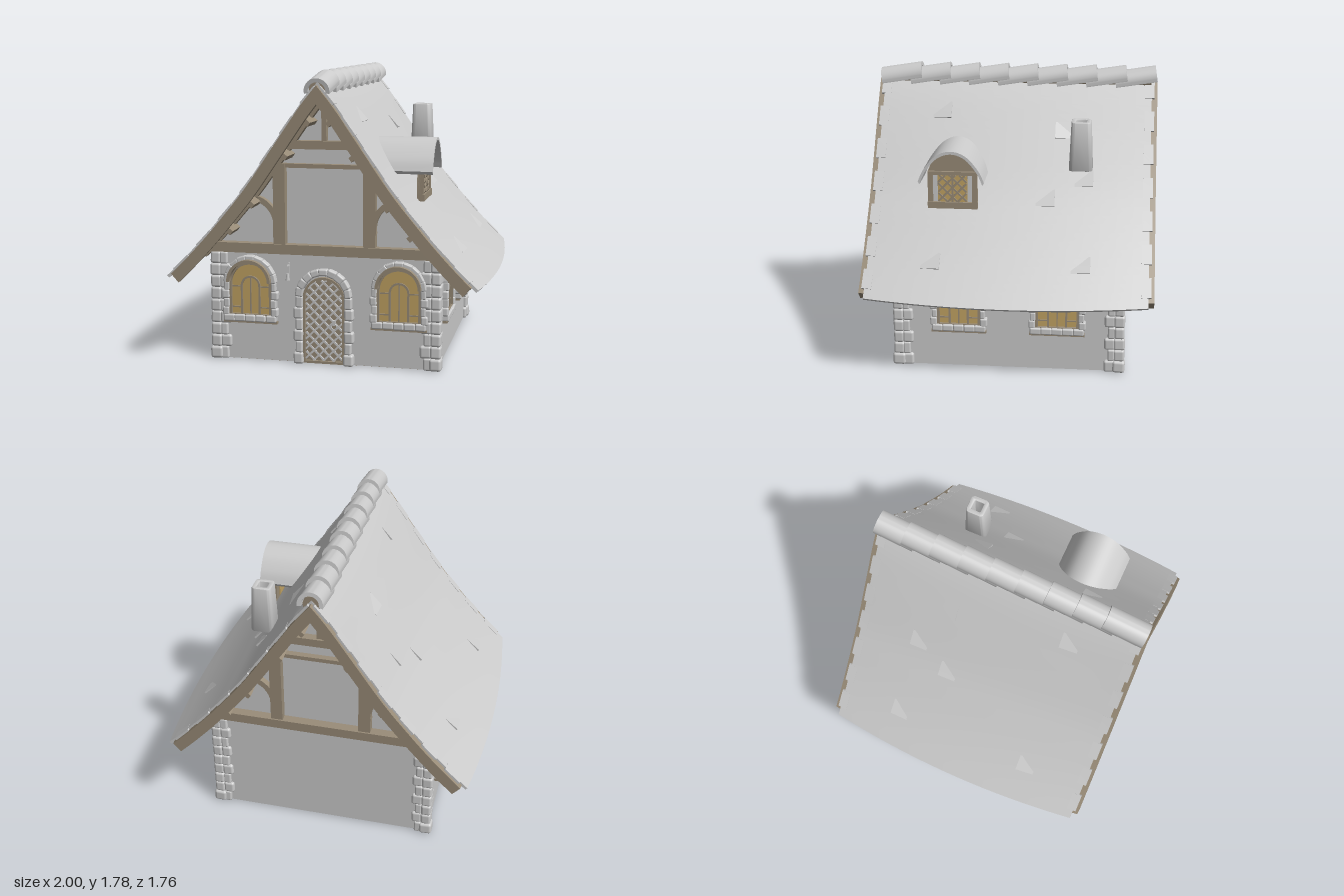
import * as THREE from 'three';
import { toCreasedNormals } from 'three/addons/utils/BufferGeometryUtils.js';
import { RoundedBoxGeometry } from 'three/addons/geometries/RoundedBoxGeometry.js';

const grey = new THREE.MeshStandardMaterial({ color: 0xcccccc });
const wood = new THREE.MeshStandardMaterial({ color: 0x9a8d79 });
const glass = new THREE.MeshStandardMaterial({ color: 0xc4a564 });
const WALL = 0.69; // half width and half depth of the house

let seed = 7;
const rand = () => (seed = (seed * 16807) % 2147483647) / 2147483647;
const jitter = (a) => (rand() - 0.5) * a;

function add(parent, name, geo, mat, x = 0, y = 0, z = 0) {
  const m = new THREE.Mesh(geo, mat);
  m.name = name;
  m.position.set(x, y, z);
  parent.add(m);
  return m;
}
function group(parent, name, x = 0, y = 0, z = 0, ry = 0) {
  const g = new THREE.Group();
  g.name = name;
  g.position.set(x, y, z);
  g.rotation.y = ry;
  parent.add(g);
  return g;
}
// box given by its limits
const block = (p, name, mat, x0, x1, y0, y1, z0, z1) =>
  add(p, name, new THREE.BoxGeometry(x1 - x0, y1 - y0, z1 - z0), mat, (x0 + x1) / 2, (y0 + y1) / 2, (z0 + z1) / 2);
const extrude = (p, name, shape, depth, mat, z = 0) =>
  add(p, name, toCreasedNormals(new THREE.ExtrudeGeometry(shape, { depth, bevelEnabled: false, curveSegments: 14 }), 0.6), mat, 0, 0, z);
function stone(p, x, y, z, w, h, d, rot = 0) {
  const r = Math.min(w, h, d) * 0.24;
  const m = add(p, 'stone', new RoundedBoxGeometry(w + jitter(0.008), h * 1.03, d + jitter(0.01), 2, r), grey, x, y, z);
  m.rotation.set(jitter(0.06), jitter(0.06), rot + jitter(0.07));
}
function archShape(w, y0, spring) {
  const s = new THREE.Shape();
  s.moveTo(-w, y0);
  s.lineTo(w, y0);
  s.lineTo(w, spring);
  s.absarc(0, spring, w, 0, Math.PI, false);
  s.closePath();
  return s;
}
function ringShape(r0, r1, cx, cy, a0, a1) {
  const s = new THREE.Shape();
  s.absarc(cx, cy, r1, a0, a1, false);
  s.absarc(cx, cy, r0, a1, a0, true);
  s.closePath();
  return s;
}
function frameShape(wOut, wIn, y0, y0In, spring) {
  const s = archShape(wOut, y0, spring);
  s.holes.push(archShape(wIn, y0In, spring));
  return s;
}
// diagonal bars, both ways, clipped to an arched or square opening
function lattice(p, w, y0, spring, arched, step, mat, z) {
  const top = spring + (arched ? w : 0);
  const inside = (x, y) => Math.abs(x) <= w && (y <= spring || x * x + (y - spring) ** 2 <= w * w);
  for (const dir of [-1, 1]) for (let c = y0 - w; c < top + w; c += step) {
    const ys = [];
    for (let y = y0; y <= top; y += 0.004) if (inside(dir * (y - c), y)) ys.push(y);
    if (ys.length < 4) continue;
    const a = ys[0], b = ys[ys.length - 1], mid = (a + b) / 2;
    const bar = add(p, 'latticeBar', new THREE.BoxGeometry(0.011, (b - a) * Math.SQRT2, 0.016), mat, dir * (mid - c), mid, z + dir * 0.0008);
    bar.rotation.z = -dir * Math.PI / 4;
  }
}
// stones up both jambs and around the arch
function stoneSurround(p, w, y0, spring, thick, rows, n) {
  const h = (spring - y0) / rows;
  for (const s of [-1, 1]) for (let i = 0; i < rows; i++)
    stone(p, s * (w + thick / 2 + (i % 2 ? 0 : 0.006)), y0 + h * (i + 0.5), 0.004, thick + (i % 2 ? 0 : 0.012), h, 0.066);
  for (let i = 0; i < n; i++) {
    const a = Math.PI * (i + 0.5) / n, r = w + thick / 2;
    stone(p, r * Math.cos(a), spring + r * Math.sin(a), 0.006, thick, Math.PI * r / n * 1.08, 0.07, a);
  }
}

// sagging roof slope: t runs from ridge to eave, o is the offset outward
const slope = new THREE.SplineCurve([[0, 1.715], [0.115, 1.58], [0.247, 1.4], [0.465, 1.1], [0.62, 0.915], [0.74, 0.78], [0.87, 0.645], [1, 0.52]]
  .map(([x, y]) => new THREE.Vector2(x, y)));
function roofPoint(t, z, o) {
  const p = slope.getPointAt(t), d = slope.getTangentAt(t), k = (z / 0.87) ** 2;
  let x = p.x - d.y * o, y = p.y + d.x * o;
  if (x < 0) { y -= x * d.y / d.x; x = 0; }
  return [x * (1 - 0.06 * k), y + 0.018 * k * t * t];
}
// box bent onto the slope; lift and twist raise its lower edge and one side
function slab(p, name, mat, t0, t1, z0, z1, o0, o1, lift = 0, twist = 0) {
  const geo = new THREE.BoxGeometry(1, 1, 1, Math.max(1, Math.round((t1 - t0) * 28)), 1, Math.max(1, Math.round((z1 - z0) * 10)));
  const a = geo.attributes.position;
  for (let i = 0; i < a.count; i++) {
    const u = a.getX(i) + 0.5, w = a.getZ(i), z = z0 + (w + 0.5) * (z1 - z0);
    const [x, y] = roofPoint(t0 + u * (t1 - t0), z, o0 + (a.getY(i) + 0.5) * (o1 - o0) + lift * u + twist * w);
    a.setXYZ(i, x, y, z);
  }
  geo.computeVertexNormals();
  return add(p, name, geo, mat);
}

function buildRoof(root) {
  for (const side of [1, -1]) {
    const half = group(root, side > 0 ? 'leftRoofSlope' : 'rightRoofSlope', 0, 0, 0, side > 0 ? 0 : Math.PI);
    slab(half, 'roofCovering', grey, 0, 1, -0.843, 0.843, -0.018, 0);
    slab(half, 'roofBoards', wood, 0, 0.975, -0.84, 0.84, -0.038, -0.018);
    for (const t of [0.14, 0.3, 0.53, 0.67]) slab(half, 'purlin', wood, t, t + 0.02, -0.84, 0.84, -0.115, -0.038);
    for (const e of [1, -1]) {
      const span = (a, b) => e > 0 ? [a, b] : [-b, -a];
      slab(half, 'bargeboard', wood, 0, 0.975, ...span(0.838, 0.878), -0.084, -0.012);
      slab(half, 'wallRafter', wood, 0, 0.85, ...span(0.63, 0.7), -0.084, -0.038);
      for (let i = 0; i < 7; i++)
        slab(half, 'edgeTile', grey, 0.02 + i * 0.142, 0.105 + i * 0.142, ...span(0.8, 0.86), -0.02, 0.001, 0.003);
    }
    // a few lifted tiles: lower edge x, centre z and the raised side
    for (const [x, z, s] of [[0.2, 0.46, -1], [0.275, -0.31, 1], [0.47, -0.44, -1], [0.55, -0.21, -1], [0.82, 0.46, -1], [0.82, -0.44, -1]])
      slab(half, 'liftedTile', grey, x * 1.035 - 0.07, x * 1.035, side * z - 0.057, side * z + 0.057, -0.02, -0.004, 0.011, side * s * 0.01);
  }
  const cap = ringShape(0.052, 0.076, 0, 0, -0.2, Math.PI + 0.2);
  for (let i = 0; i < 9; i++) {
    const m = extrude(root, 'ridgeTile', cap, 0.26, grey, 0.605 - 0.185 * i);
    m.position.y = 1.703;
    m.rotation.x = 0.16;
  }
  const beam = add(root, 'ridgeBeam', new THREE.CylinderGeometry(0.052, 0.052, 1.68, 16), wood, 0, 1.685, 0);
  beam.rotation.x = Math.PI / 2;
}

function buildGable(root, ry) {
  const g = group(root, ry ? 'backGable' : 'frontGable', 0, 0, 0, ry);
  block(g, 'tieBeam', wood, -0.73, 0.73, 0.67, 0.73, 0.62, 0.71);
  block(g, 'lowerCollar', wood, -0.3, 0.3, 1.195, 1.22, 0.62, 0.69);
  block(g, 'upperCollar', wood, -0.25, 0.25, 1.31, 1.36, 0.62, 0.705);
  block(g, 'kingPost', wood, -0.015, 0.015, 1.36, 1.6, 0.62, 0.69);
  for (const s of [1, -1]) {
    block(g, 'post', wood, s * 0.277 - 0.037, s * 0.277 + 0.037, 0.73, 1.22, 0.62, 0.7);
    const brace = s > 0 ? ringShape(0.15, 0.185, 0.465, 0.84, Math.PI * 0.58, Math.PI * 1.06)
      : ringShape(0.15, 0.185, -0.465, 0.84, -Math.PI * 0.06, Math.PI * 0.42);
    extrude(g, 'curvedBrace', brace, 0.06, wood, 0.63);
  }
}

function buildWindow(root, x, z, ry) {
  const g = group(root, 'window', x, 0, z, ry);
  extrude(g, 'glazing', archShape(0.125, 0.28, 0.48), 0.008, glass);
  extrude(g, 'casing', frameShape(0.135, 0.118, 0.27, 0.29, 0.48), 0.025, wood);
  extrude(g, 'innerArch', frameShape(0.062, 0.05, 0.28, 0.285, 0.465), 0.018, wood);
  block(g, 'mullion', wood, -0.004, 0.004, 0.28, 0.52, 0, 0.015);
  for (const s of [1, -1]) for (const y of [0.33, 0.46])
    block(g, 'glazingBar', wood, s * 0.088 - 0.028, s * 0.088 + 0.028, y - 0.004, y + 0.004, 0, 0.015);
  extrude(g, 'hood', ringShape(0.12, 0.138, 0, 0.495, 0, Math.PI), 0.07, wood);
  stoneSurround(g, 0.132, 0.28, 0.49, 0.032, 4, 9);
  block(g, 'sill', wood, -0.17, 0.17, 0.235, 0.25, 0, 0.03);
  for (let i = 0; i < 5; i++) stone(g, (i - 2) * 0.066, 0.265, 0.005, 0.068, 0.042, 0.07);
}

function buildDoor(root) {
  const g = group(root, 'door', 0, 0, WALL);
  extrude(g, 'doorPanel', archShape(0.125, 0.005, 0.41), 0.008, wood);
  extrude(g, 'doorFrame', frameShape(0.128, 0.114, 0.005, 0.02, 0.41), 0.025, wood);
  lattice(g, 0.115, 0.02, 0.41, true, 0.06, grey, 0.01);
  stoneSurround(g, 0.128, 0, 0.42, 0.045, 6, 9);
  for (const s of [1, -1]) stone(g, s * 0.155, 0.035, 0.005, 0.06, 0.07, 0.08);
  add(g, 'ringHandle', new THREE.TorusGeometry(0.017, 0.004, 6, 16), grey, 0.065, 0.24, 0.026);
  add(g, 'handlePlate', new THREE.BoxGeometry(0.02, 0.03, 0.02), grey, 0.065, 0.262, 0.018);
  // small hanging lamp beside the door
  block(g, 'lampBracket', grey, -0.222, -0.214, 0.54, 0.62, 0, 0.012);
  block(g, 'lampArm', grey, -0.222, -0.214, 0.6, 0.608, 0, 0.05);
  add(g, 'lamp', new THREE.CylinderGeometry(0.008, 0.014, 0.04, 6), grey, -0.218, 0.535, 0.035);
}

function buildDormer(root) {
  const g = group(root, 'dormer', 0, 0, 0.35, Math.PI / 2);
  const front = new THREE.Shape([[-0.15, 1], [0.15, 1], [0.15, 1.22], [0.12, 1.29], [0.06, 1.33], [0, 1.345], [-0.06, 1.33], [-0.12, 1.29], [-0.15, 1.22]]
    .map(([x, y]) => new THREE.Vector2(x, y)));
  extrude(g, 'dormerWall', front, 0.025, wood, 0.53);
  block(g, 'dormerSill', wood, -0.152, 0.152, 0.99, 1.03, 0.53, 0.575);
  block(g, 'dormerLintel', wood, -0.15, 0.15, 1.2, 1.222, 0.53, 0.572);
  for (const s of [1, -1]) {
    block(g, 'dormerPost', wood, s * 0.135 - 0.015, s * 0.135 + 0.015, 1.02, 1.21, 0.53, 0.57);
    block(g, 'shutterStrip', grey, s * 0.105 - 0.014, s * 0.105 + 0.014, 1.03, 1.2, 0.54, 0.56);
  }
  block(g, 'dormerGlazing', glass, -0.09, 0.09, 1.03, 1.2, 0.525, 0.558);
  block(g, 'dormerMullion', wood, -0.005, 0.005, 1.03, 1.2, 0.54, 0.57);
  lattice(g, 0.09, 1.03, 1.2, false, 0.06, wood, 0.559);
  const line = new THREE.SplineCurve([[0.2, 1.175], [0.165, 1.25], [0.09, 1.335], [0, 1.365], [-0.09, 1.335], [-0.165, 1.25], [-0.2, 1.175]]
    .map(([x, y]) => new THREE.Vector2(x, y))).getPoints(30);
  const under = line.map((p) => new THREE.Vector2(p.x * 0.95, p.y - 0.018)).reverse();
  extrude(g, 'dormerRoof', new THREE.Shape([...line, ...under]), 0.42, grey, 0.21);
}

function buildChimney(root) {
  const square = (S, r, c) => {
    const s = new S();
    for (let i = 0; i < 4; i++) {
      const a = i * Math.PI / 2 + Math.PI / 4, q = (r - c) * Math.SQRT2;
      s.absarc(q * Math.cos(a), q * Math.sin(a), c, a - Math.PI / 4, a + Math.PI / 4, false);
    }
    s.closePath();
    return s;
  };
  const shape = square(THREE.Shape, 0.054, 0.018);
  shape.holes.push(square(THREE.Path, 0.037, 0.01));
  const height = 0.288;
  const geo = new THREE.ExtrudeGeometry(shape, { depth: height, bevelSize: 0.006, bevelThickness: 0.006, bevelSegments: 2, curveSegments: 4 });
  geo.rotateX(-Math.PI / 2);
  const a = geo.attributes.position;
  for (let i = 0; i < a.count; i++) {
    const k = 1 + 0.2 * (height - a.getY(i)) / height;
    a.setX(i, a.getX(i) * k);
    a.setZ(i, a.getZ(i) * k);
  }
  add(root, 'chimney', toCreasedNormals(geo, 0.7), grey, 0.417, 1.224, -0.42);
  block(root, 'chimneyBase', grey, 0.365, 0.469, 1.22, 1.25, -0.472, -0.368);
}

function buildWalls(root) {
  const w = WALL;
  block(root, 'floor', wood, -w + 0.005, w - 0.005, 0, 0.02, -w + 0.005, w - 0.005);
  block(root, 'walls', grey, -w, w, 0.002, 0.7, -w, w);
  const right = [];
  for (let i = 0; i <= 12; i++) {
    const [x, y] = roofPoint(i * 0.06, 0.65, -0.038);
    right.push(new THREE.Vector2(Math.min(x, w), y));
  }
  const outline = [...right, new THREE.Vector2(w, 0.6), new THREE.Vector2(-w, 0.6),
    ...right.slice(1).reverse().map((p) => new THREE.Vector2(-p.x, p.y))];
  extrude(root, 'gableWall', new THREE.Shape(outline), 1.3, grey, -0.65);
  // corner stones in courses, alternating their long side
  for (const sx of [1, -1]) for (const sz of [1, -1]) {
    const g = group(root, 'cornerStones');
    const rows = 9, h = 0.67 / rows;
    for (let i = 0; i < rows; i++) {
      const y = h * (i + 0.5), k = i % 2 ? 0.012 : -0.008, b = i ? 0 : 0.012;
      stone(g, sx * 0.681, y, sz * 0.681, 0.066 + b, h, 0.066 + b);
      stone(g, sx * (0.627 - k / 2), y, sz * 0.677, 0.056 + k, h, 0.066);
      stone(g, sx * 0.677, y, sz * (0.627 + k / 2), 0.066, h, 0.056 - k);
    }
  }
}

export function createModel() {
  seed = 7;
  const root = new THREE.Group();
  root.name = 'cottage';
  buildWalls(root);
  buildRoof(root);
  buildGable(root, 0);
  buildGable(root, Math.PI);
  buildDoor(root);
  for (const s of [1, -1]) {
    buildWindow(root, s * 0.46, WALL, 0);
    for (const z of [0.305, -0.3]) buildWindow(root, s * WALL, z, s * Math.PI / 2);
  }
  buildDormer(root);
  buildChimney(root);
  return root;
}
